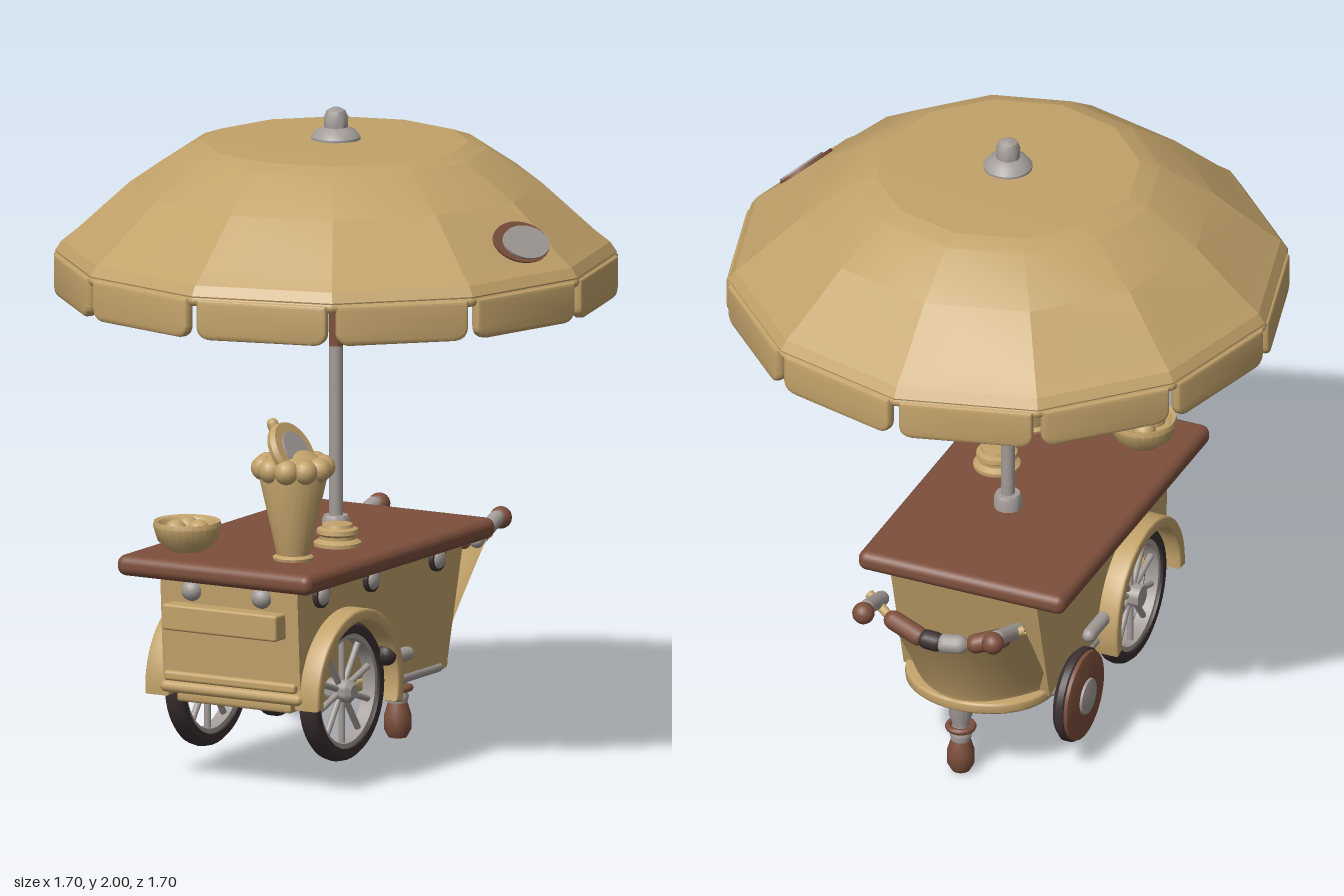
import * as THREE from 'three';
import { toCreasedNormals } from 'three/addons/utils/BufferGeometryUtils.js';
import { RoundedBoxGeometry } from 'three/addons/geometries/RoundedBoxGeometry.js';
import { ParametricGeometry } from 'three/addons/geometries/ParametricGeometry.js';

const material = (name, color, extra = {}) => new THREE.MeshStandardMaterial({ name, color, ...extra });
const tan = material('tan', 0xc2a26a, { side: THREE.DoubleSide });
const brown = material('brown wood', 0x7d4f3c);
const grey = material('grey metal', 0xa39c98);
const dark = material('dark rubber', 0x3b3032);

const CX = -0.03; // centre line of the cart body
const V = (x, y, z) => new THREE.Vector3(x, y, z);

function add(parent, name, geo, mat, x = 0, y = 0, z = 0) {
  const m = new THREE.Mesh(geo, mat);
  m.name = name;
  m.position.set(x, y, z);
  parent.add(m);
  return m;
}

// Rod between two points; round ends on request
function rod(parent, name, a, b, r, mat, round = false) {
  const len = a.distanceTo(b);
  const geo = round ? new THREE.CapsuleGeometry(r, len, 5, 14) : new THREE.CylinderGeometry(r, r, len, 14);
  const m = add(parent, name, geo, mat);
  m.position.copy(a).lerp(b, 0.5);
  m.quaternion.setFromUnitVectors(V(0, 1, 0), b.clone().sub(a).normalize());
  return m;
}

const lathe = (pts, seg = 32) =>
  toCreasedNormals(new THREE.LatheGeometry(pts.map(p => new THREE.Vector2(...p)), seg), 0.6);

// Extrude a (z, y) side outline across x, centred on x = 0
function extrudeX(shape, width, bevel = 0) {
  const depth = width - 2 * bevel;
  const g = new THREE.ExtrudeGeometry(shape, {
    depth, curveSegments: 28, bevelEnabled: bevel > 0, bevelSize: bevel, bevelThickness: bevel, bevelSegments: 3 });
  return toCreasedNormals(g.translate(0, 0, -depth / 2).rotateY(-Math.PI / 2), 0.6);
}

function umbrella() {
  const g = new THREE.Group();
  g.name = 'umbrella';
  // Twelve-sided, double-walled canopy
  const outer = [[0.835, 1.53], [0.845, 1.56], [0.825, 1.59], [0.78, 1.625], [0.62, 1.77], [0.46, 1.875], [0.4, 1.895], [0, 1.905]];
  const inner = [[0, 1.88], [0.4, 1.87], [0.6, 1.75], [0.76, 1.605], [0.8, 1.56], [0.8, 1.53]];
  const canopy = new THREE.LatheGeometry([...inner, ...outer].map(p => new THREE.Vector2(...p)), 12);
  add(g, 'canopy', toCreasedNormals(canopy, 0.3), tan);

  // Valance flaps with rounded lower corners, rolled hem and ribs
  const w = 0.192, flap = new THREE.Shape();
  flap.moveTo(-w, 0.1);
  flap.lineTo(-w, 0.03);
  flap.quadraticCurveTo(-w, 0, -w + 0.035, 0);
  flap.lineTo(w - 0.035, 0);
  flap.quadraticCurveTo(w, 0, w, 0.03);
  flap.lineTo(w, 0.1);
  const flapGeo = toCreasedNormals(new THREE.ExtrudeGeometry(flap, {
    depth: 0.012, bevelSize: 0.012, bevelThickness: 0.012, bevelSegments: 3 }), 0.7);
  for (let i = 0; i < 12; i++) {
    const a = (i + 0.5) * Math.PI / 6, c = i * Math.PI / 6;
    add(g, 'valanceFlap', flapGeo, tan, Math.sin(a) * 0.803, 1.44, Math.cos(a) * 0.803).rotation.y = a;
    const at = (r, y, t) => V(Math.sin(t) * r, y, Math.cos(t) * r);
    rod(g, 'hem', at(0.83, 1.545, c), at(0.83, 1.545, c + Math.PI / 6), 0.017, tan, true);
    rod(g, 'rib', at(0.03, 1.55, c), at(0.5, 1.815, c), 0.008, brown);
  }

  // Oval patch lying on one panel
  const patch = new THREE.Group();
  patch.name = 'patch';
  patch.position.set(0.708, 1.671, 0.1);
  patch.rotation.set(0, -Math.PI / 12, -0.8, 'YXZ');
  g.add(patch);
  const disc = new THREE.CylinderGeometry(1, 1, 0.009, 28);
  add(patch, 'patchBorder', disc, brown).scale.set(0.075, 1, 0.105);
  add(patch, 'patchCentre', disc, grey, 0.006, 0.006, -0.012).scale.set(0.06, 1, 0.088);

  // Pole, rib hub and finial
  rod(g, 'lowerPole', V(0, 0.7, 0), V(0, 1.27, 0), 0.021, grey);
  rod(g, 'middlePole', V(0, 1.27, 0), V(0, 1.5, 0), 0.022, brown);
  rod(g, 'upperPole', V(0, 1.5, 0), V(0, 1.89, 0), 0.03, grey);
  add(g, 'ribHub', lathe([[0, 1.48], [0.03, 1.48], [0.045, 1.53], [0.045, 1.57], [0, 1.58]]), grey);
  add(g, 'poleSocket', lathe([[0.042, 0.69], [0.042, 0.74], [0.036, 0.752], [0, 0.752]]), grey);
  add(g, 'finial', lathe([[0.074, 1.895], [0.074, 1.91], [0.06, 1.93], [0.036, 1.94], [0.037, 1.97], [0.028, 1.99], [0.012, 1.999], [0, 2]]), grey);
  return g;
}

// Spoked wheel turning on the x axis
function spokedWheel(x) {
  const g = new THREE.Group();
  g.name = 'spokedWheel';
  g.position.set(x, 0.285, 0.31);
  g.rotation.z = -Math.PI / 2;
  const h = 0.03;
  add(g, 'tyre', lathe([[0.175, -h], [0.2, -h], [0.211, -0.018], [0.215, 0], [0.211, 0.018], [0.2, h], [0.175, h], [0.175, -h]], 48), dark);
  add(g, 'rim', lathe([[0.16, -0.022], [0.178, -0.022], [0.178, 0.022], [0.16, 0.022], [0.16, -0.022]], 48), grey);
  add(g, 'hub', lathe([[0, -0.04], [0.035, -0.04], [0.035, 0.03], [0.02, 0.045], [0, 0.045]], 24), grey);
  for (let i = 0; i < 10; i++) {
    const a = i * Math.PI / 5;
    rod(g, 'spoke', V(0, 0, 0), V(Math.cos(a) * 0.165, 0, Math.sin(a) * 0.165), 0.01, grey);
  }
  return g;
}

function cart() {
  const g = new THREE.Group();
  g.name = 'cart';
  add(g, 'tableTop', new RoundedBoxGeometry(0.68, 0.064, 1.11, 4, 0.028), brown, CX, 0.672, 0.125);

  // Body with wheel arches cut through, filled by a narrower core
  const side = new THREE.Shape();
  side.moveTo(0.58, 0.65);
  side.lineTo(0.56, 0.31);
  side.absarc(0.31, 0.285, 0.225, 0.111, Math.PI - 0.111, false);
  side.lineTo(0.085, 0.27);
  side.lineTo(-0.3, 0.27);
  side.lineTo(-0.4, 0.65);
  add(g, 'body', extrudeX(side, 0.48), tan, CX);
  add(g, 'bodyCore', new THREE.BoxGeometry(0.37, 0.34, 0.5), tan, CX, 0.45, 0.31);

  // Floor plate with a rounded tail
  const floor = new THREE.Shape();
  floor.moveTo(-0.19, -0.54);
  floor.lineTo(0.19, -0.54);
  floor.lineTo(0.19, -0.08);
  floor.lineTo(0.23, -0.08);
  floor.lineTo(0.23, 0.26);
  floor.bezierCurveTo(0.21, 0.52, -0.21, 0.52, -0.23, 0.26);
  floor.lineTo(-0.23, -0.08);
  floor.lineTo(-0.19, -0.08);
  const floorGeo = new THREE.ExtrudeGeometry(floor, { depth: 0.02, bevelSize: 0.008, bevelThickness: 0.008, curveSegments: 20 });
  add(g, 'floor', toCreasedNormals(floorGeo.rotateX(-Math.PI / 2), 0.6), tan, CX, 0.256, 0);

  // Front box, ledge and bumper
  add(g, 'frontBox', new RoundedBoxGeometry(0.4, 0.08, 0.07, 3, 0.008), tan, -0.035, 0.52, 0.595);
  add(g, 'frontLedge', new RoundedBoxGeometry(0.46, 0.03, 0.05, 3, 0.01), tan, CX, 0.33, 0.555);
  rod(g, 'bumper', V(-0.26, 0.295, 0.56), V(0.2, 0.295, 0.56), 0.018, tan, true);
  for (const x of [-0.16, 0.085])
    add(g, 'frontLamp', new THREE.SphereGeometry(0.033, 18, 12), grey, x, 0.6, 0.575);

  // Mirrored side fittings
  const fender = new THREE.Shape();
  fender.absarc(0, 0, 0.246, -0.05, Math.PI + 0.25, false);
  fender.absarc(0, 0, 0.224, Math.PI + 0.25, -0.05, true);
  const fenderGeo = extrudeX(fender, 0.085, 0.008);
  for (const s of [1, -1]) {
    const X = d => CX + s * d;
    g.add(spokedWheel(X(0.235)));
    add(g, 'fender', fenderGeo, tan, X(0.262), 0.285, 0.31);
    for (const z of [0.45, 0.155, -0.23]) {
      rod(g, 'studRing', V(X(0.23), 0.602, z), V(X(0.255), 0.602, z), 0.04, dark);
      add(g, 'stud', new THREE.SphereGeometry(0.032, 16, 10), grey, X(0.252), 0.602, z).scale.x = 0.6;
    }
    add(g, 'fenderKnob', new THREE.SphereGeometry(0.034, 16, 10), dark, X(0.27), 0.365, 0.105);
    rod(g, 'sideLatch', V(X(0.255), 0.342, 0.07), V(X(0.255), 0.342, -0.04), 0.022, grey, true);
    rod(g, 'sideRail', V(X(0.23), 0.262, 0.08), V(X(0.23), 0.262, -0.26), 0.016, grey, true);
    // Push handles
    rod(g, 'handle', V(X(0.225), 0.61, -0.5), V(X(0.215), 0.655, -0.63), 0.024, grey, true);
    add(g, 'handleTip', new THREE.SphereGeometry(0.034, 18, 12), brown, X(0.213), 0.652, -0.66);
  }
  rod(g, 'axle', V(CX - 0.23, 0.285, 0.31), V(CX + 0.23, 0.285, 0.31), 0.025, brown);
  rod(g, 'axleBrace', V(-0.13, 0.235, 0.31), V(0.07, 0.235, 0.31), 0.02, brown, true);

  // Flared rear apron, bowed backwards, with a bar along its rim
  const apron = (u, v, t) => {
    const s = 2 * u - 1, b = 1 - s * s;
    const sideZ = -0.27 - 0.25 * v, midZ = -0.45 - 0.15 * Math.pow(v, 1.25);
    const sideY = 0.27 + 0.36 * Math.pow(v, 0.9), midY = 0.27 + 0.3 * v;
    return t.set(CX + s * (0.225 + 0.03 * v), sideY + (midY - sideY) * b, sideZ + (midZ - sideZ) * b);
  };
  add(g, 'rearApron', new ParametricGeometry(apron, 24, 12), tan);
  const rim = (u) => apron(u, 1, V(0, 0, 0));
  const rimCurve = new THREE.CatmullRomCurve3([0, 0.25, 0.5, 0.75, 1].map(rim));
  add(g, 'apronRim', new THREE.TubeGeometry(rimCurve, 28, 0.015, 10), tan);
  const grips = [[0.12, 0.26, brown], [0.36, 0.44, grey], [0.5, 0.56, dark], [0.62, 0.8, brown]];
  for (const [a, b, mat] of grips) rod(g, 'rimGrip', rim(a), rim(b), 0.03, mat, true);

  // Solid spare wheel on the left-hand rear
  const spare = new THREE.Group();
  spare.name = 'discWheel';
  spare.position.set(-0.315, 0.222, -0.185);
  spare.rotation.z = Math.PI / 2;
  g.add(spare);
  add(spare, 'discTyre', lathe([[0, -0.028], [0.13, -0.028], [0.146, -0.012], [0.146, 0.008], [0.135, 0.018], [0, 0.018]], 40), dark);
  add(spare, 'disc', lathe([[0.142, 0.01], [0.138, 0.022], [0.12, 0.028], [0, 0.028]], 40), brown);
  add(spare, 'discCap', lathe([[0.06, 0.02], [0.055, 0.035], [0.03, 0.04], [0, 0.044]], 24), grey);
  rod(g, 'discAxle', V(-0.3, 0.222, -0.185), V(-0.18, 0.262, -0.185), 0.022, grey);

  // Rear support leg
  const leg = new THREE.Group();
  leg.name = 'rearLeg';
  leg.position.set(-0.02, 0, -0.395);
  g.add(leg);
  add(leg, 'legPost', lathe([[0.028, 0.1], [0.034, 0.13], [0.026, 0.15], [0.026, 0.17], [0.036, 0.2], [0.036, 0.26]], 20), grey);
  add(leg, 'legCollar', new THREE.TorusGeometry(0.038, 0.01, 8, 20).rotateX(Math.PI / 2), brown, 0, 0.155, 0);
  add(leg, 'legFoot', lathe([[0, 0], [0.028, 0.004], [0.042, 0.03], [0.042, 0.07], [0.03, 0.11], [0, 0.12]], 20), brown);
  return g;
}

function treats() {
  const g = new THREE.Group();
  g.name = 'treats';
  // Large display cone with scoops, wafer disc and sticks
  const cone = new THREE.Group();
  cone.name = 'displayCone';
  cone.position.set(0.125, 0.7, 0.46);
  g.add(cone);
  add(cone, 'cone', lathe([[0, 0], [0.06, 0], [0.062, 0.012], [0.05, 0.02], [0.106, 0.27], [0.1, 0.3], [0, 0.31]], 24), tan);
  for (let i = 0; i < 10; i++) {
    const a = i * Math.PI / 5;
    add(cone, 'creamPuff', new THREE.SphereGeometry(0.038, 14, 10), tan, Math.cos(a) * 0.09, 0.285, Math.sin(a) * 0.09);
  }
  add(cone, 'creamTop', new THREE.SphereGeometry(0.1, 20, 12), tan, 0, 0.28, 0).scale.y = 0.6;
  const wafer = new THREE.Group();
  wafer.name = 'wafer';
  wafer.position.set(0, 0.335, 0.01);
  wafer.rotation.z = 0.55 - Math.PI / 2;
  cone.add(wafer);
  add(wafer, 'waferDisc', lathe([[0, -0.016], [0.09, -0.016], [0.096, 0], [0.09, 0.016], [0, 0.016]], 32), tan);
  add(wafer, 'waferCentre', new THREE.CylinderGeometry(0.058, 0.058, 0.008, 28), grey, 0, 0.017, 0);
  rod(cone, 'stick', V(-0.06, 0.415, 0.02), V(0.01, 0.27, 0.02), 0.018, tan, true);

  // Bowl with filling
  add(g, 'bowl', lathe([[0, 0.705], [0.055, 0.705], [0.09, 0.735], [0.104, 0.78], [0.1, 0.795], [0.088, 0.79], [0.075, 0.765], [0, 0.755]], 28), tan, -0.222, 0, 0.5);
  for (let i = 0; i < 3; i++)
    add(g, 'bowlFilling', new THREE.SphereGeometry(0.036, 14, 10), tan, -0.222 + Math.cos(i * 2.1) * 0.04, 0.765, 0.5 + Math.sin(i * 2.1) * 0.04);

  // Low lidded pot
  add(g, 'lidPot', lathe([[0.072, 0.7], [0.072, 0.715], [0.055, 0.725], [0.055, 0.735], [0.064, 0.742], [0.062, 0.755], [0.048, 0.76], [0.045, 0.77], [0, 0.772]], 24), tan, 0.125, 0, 0.2);
  return g;
}

export function createModel() {
  const model = new THREE.Group();
  model.name = 'snackCart';
  model.add(umbrella(), cart(), treats());
  return model;
}
